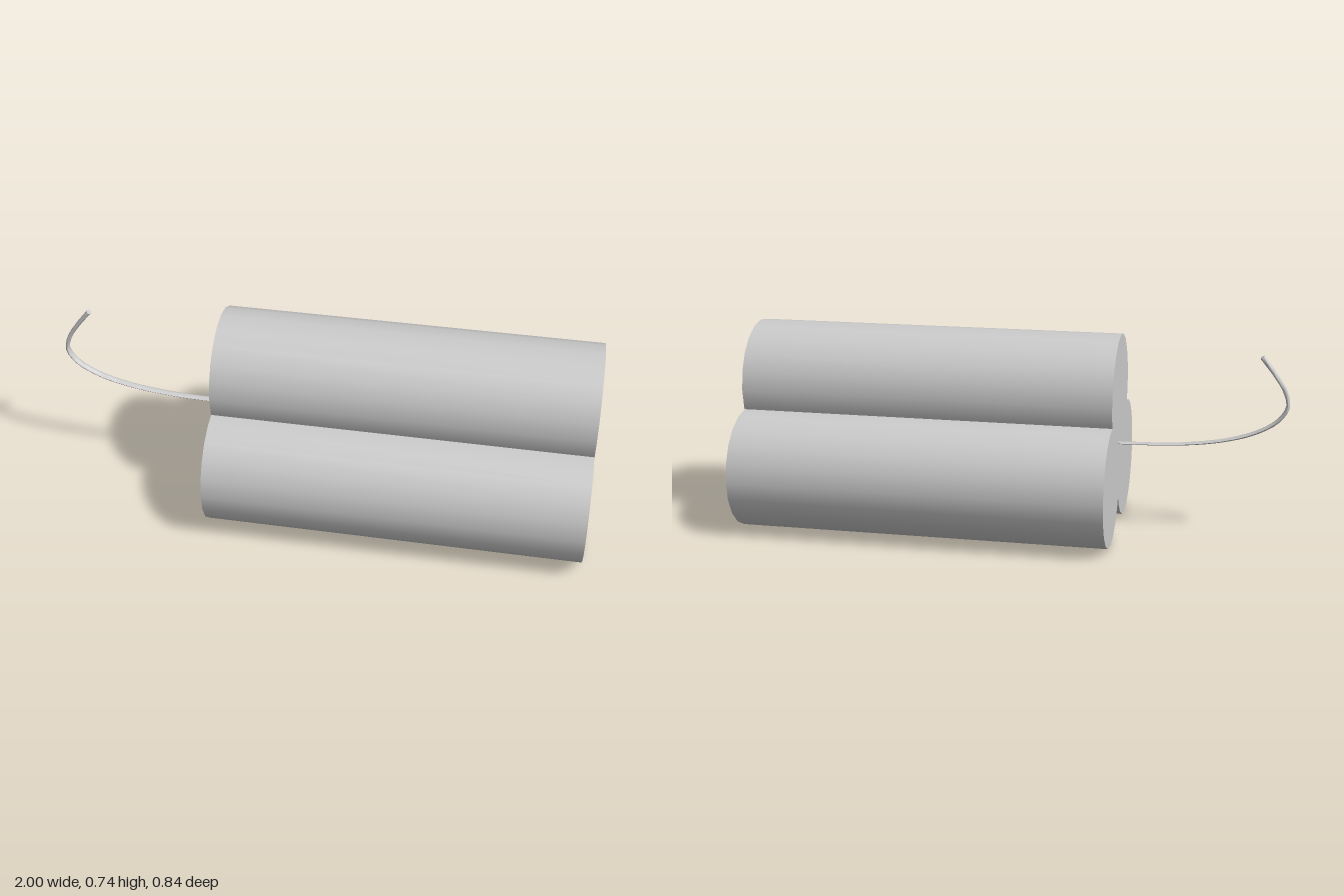
import * as THREE from 'three';
import { toCreasedNormals } from 'three/addons/utils/BufferGeometryUtils.js';

const material = new THREE.MeshStandardMaterial({ color: 0xcccccc });

// Curved cord: a tube flattened in its bending plane, thickening towards a closed tip
function makeFuse() {
  const path = new THREE.CatmullRomCurve3([
    [-0.36, 0.337], [-0.6, 0.345], [-0.77, 0.369], [-0.885, 0.405], [-0.96, 0.452],
    [-0.993, 0.505], [-0.982, 0.56], [-0.945, 0.62], [-0.894, 0.685],
  ].map(([x, y]) => new THREE.Vector3(x, y, -0.0125)));
  const rings = 40, sides = 10, radius = 0.0135;
  const geometry = new THREE.TubeGeometry(path, rings, radius, sides, false);
  const pos = geometry.attributes.position;
  const offset = new THREE.Vector3();
  for (let i = 0; i <= rings; i++) {
    const t = Math.min(i / (rings - 1), 1);
    const from = path.getPointAt(i / rings);
    const to = path.getPointAt(t);
    const flat = 0.3 + 0.35 * t;
    for (let j = 0; j <= sides; j++) {
      const k = i * (sides + 1) + j;
      offset.fromBufferAttribute(pos, k).sub(from);
      offset.multiply(new THREE.Vector3(flat, flat, 1));
      if (i === rings) offset.set(0, 0, 0); // last ring closes the tip
      offset.add(to);
      pos.setXYZ(k, offset.x, offset.y, offset.z);
    }
  }
  const mesh = new THREE.Mesh(toCreasedNormals(geometry, Math.PI / 3), material);
  mesh.name = 'fuse';
  return mesh;
}

export function createModel() {
  const group = new THREE.Group();
  group.name = 'stickBundle';

  // Three overlapping sticks lying along x
  const stick = new THREE.CylinderGeometry(0.222, 0.222, 1.383, 20);
  stick.rotateZ(Math.PI / 2);
  const places = [
    ['topStick', 0.52, 0.006],
    ['frontStick', 0.222, 0.196],
    ['backStick', 0.222, -0.196],
  ];
  for (const [name, y, z] of places) {
    const mesh = new THREE.Mesh(stick, material);
    mesh.name = name;
    mesh.position.set(0.3075, y, z);
    group.add(mesh);
  }

  group.add(makeFuse());
  return group;
}
